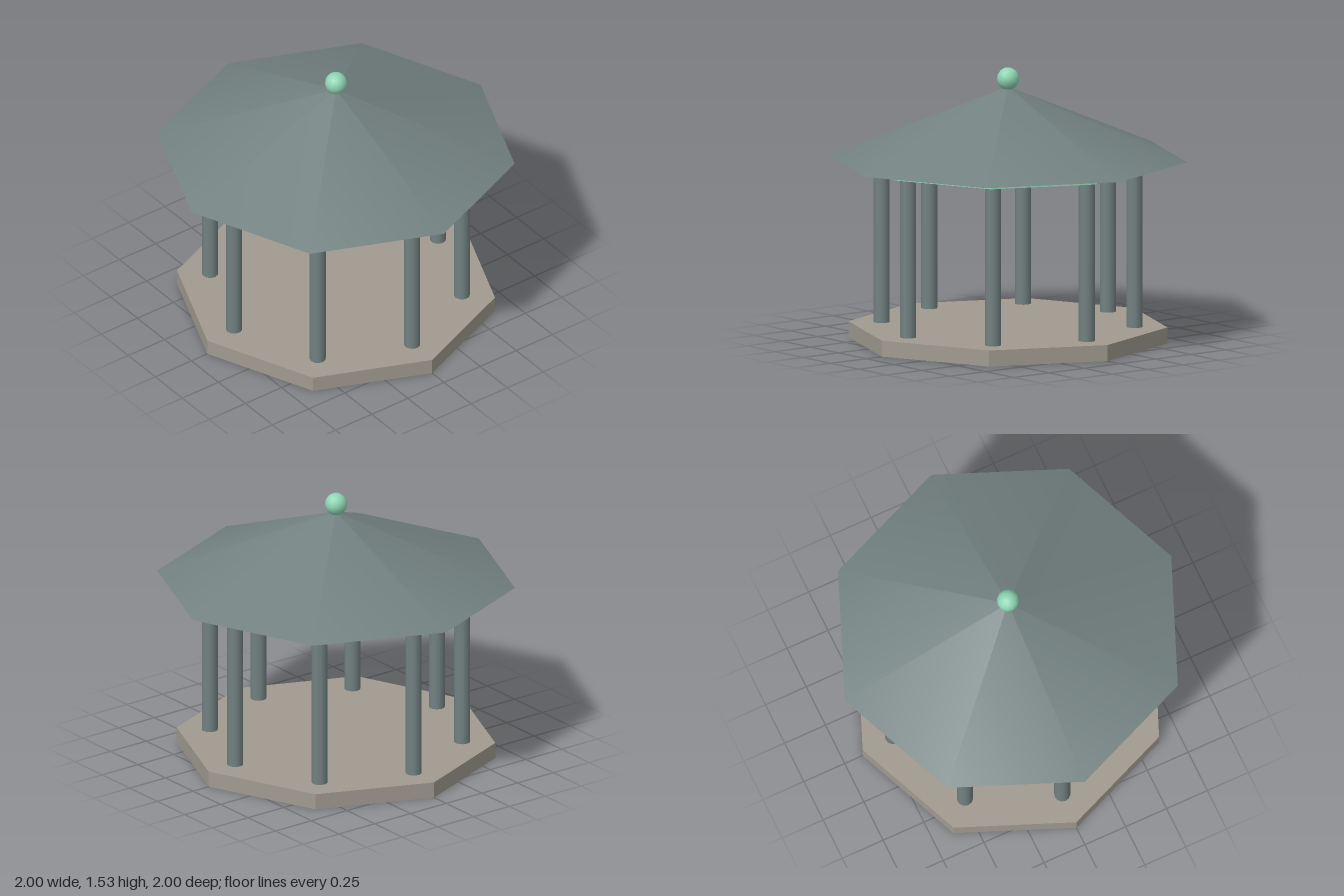
import * as THREE from 'three';

const SIDES = 8;

export function createModel() {
  const model = new THREE.Group();
  model.name = 'pavilion';

  const stone = new THREE.MeshStandardMaterial({ color: 0xa09a90 });
  stone.name = 'warm grey stone';
  const slate = new THREE.MeshStandardMaterial({ color: 0x738181 });
  slate.name = 'slate grey';
  const mint = new THREE.MeshStandardMaterial({ color: 0x8fd6b5 });
  mint.name = 'mint green';

  const add = (name, geometry, material, x, y, z) => {
    const mesh = new THREE.Mesh(geometry, material);
    mesh.name = name;
    mesh.position.set(x, y, z);
    model.add(mesh);
  };

  // Octagonal slab with crisp facets, corners on the x and z axes
  const slab = (name, radius, bottom, top, material) => {
    const geometry = new THREE.CylinderGeometry(radius, radius, top - bottom, SIDES).toNonIndexed();
    geometry.computeVertexNormals();
    add(name, geometry, material, 0, (bottom + top) / 2, 0);
  };

  slab('floor', 0.89, 0, 0.09, stone);
  slab('ceilingBeam', 0.797, 0.98, 1.024, mint);

  // One column under each corner
  const columnGeometry = new THREE.CylinderGeometry(0.045, 0.045, 0.89, 12);
  for (let i = 0; i < SIDES; i++) {
    const a = (i / SIDES) * Math.PI * 2;
    add('column', columnGeometry, slate, Math.sin(a) * 0.705, 0.535, Math.cos(a) * 0.705);
  }

  // Closed eight-sided roof and its ball finial
  add('roof', new THREE.ConeGeometry(1, 0.405, SIDES), slate, 0, 1.2225, 0);
  add('finial', new THREE.SphereGeometry(0.063, 12, 8), mint, 0, 1.47, 0);

  return model;
}
